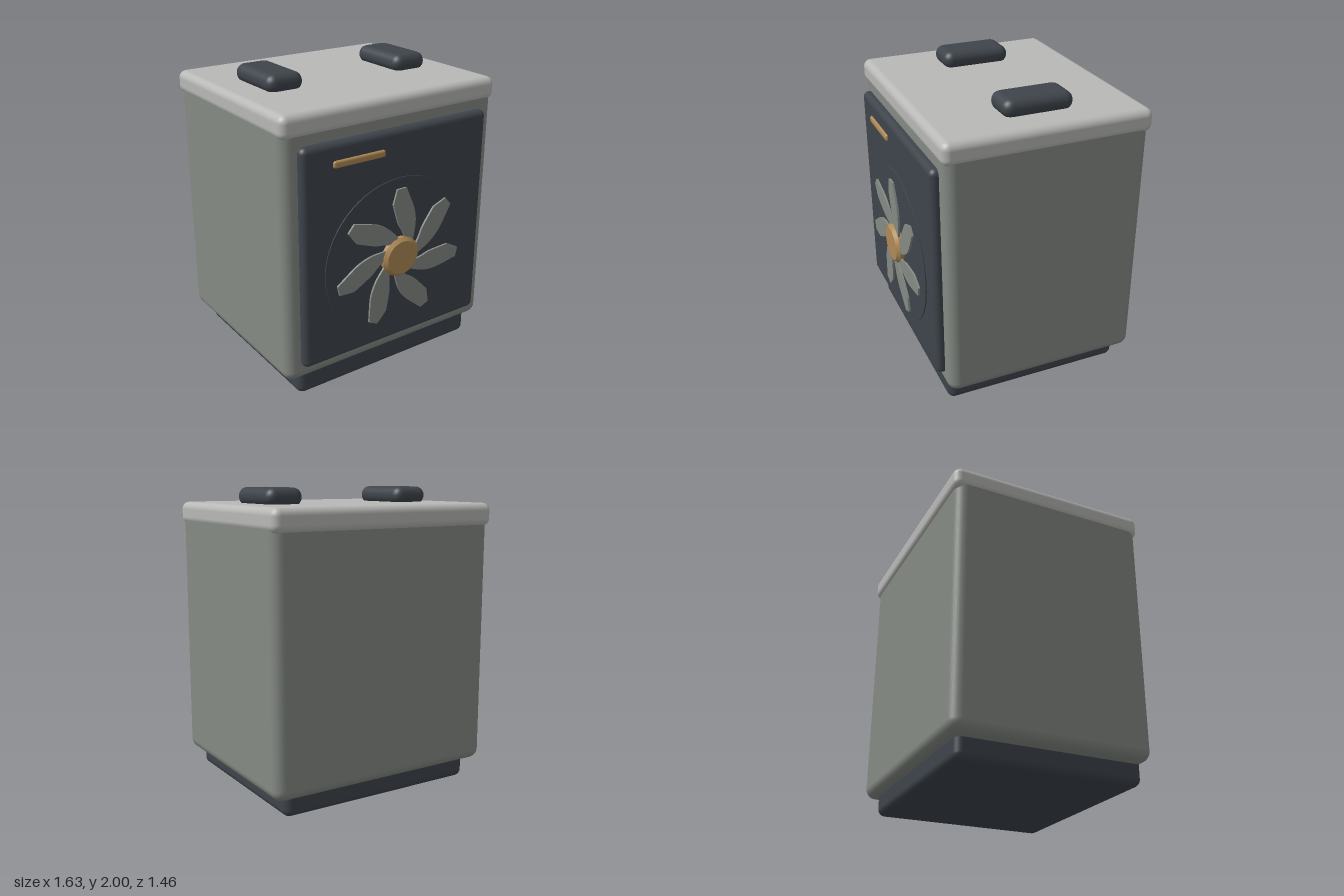
import * as THREE from 'three';
import { RoundedBoxGeometry } from 'three/addons/geometries/RoundedBoxGeometry.js';

const mat = (name, color) => {
  const m = new THREE.MeshStandardMaterial({ color });
  m.name = name;
  return m;
};

export function createModel() {
  const model = new THREE.Group();
  const grey = mat('greyGreen', 0x858a84);
  const pale = mat('paleGrey', 0xb8b8b6);
  const dark = mat('darkSlate', 0x3e444b);
  const brass = mat('brass', 0xae8955);

  const add = (name, geometry, material, parent = model) => {
    const mesh = new THREE.Mesh(geometry, material);
    mesh.name = name;
    parent.add(mesh);
    return mesh;
  };

  // Rounded box given by its extents on each axis
  const box = (name, material, [x0, x1], [y0, y1], [z0, z1], radius, segments = 4) => {
    const g = new RoundedBoxGeometry(x1 - x0, y1 - y0, z1 - z0, segments, radius);
    add(name, g, material).position.set((x0 + x1) / 2, (y0 + y1) / 2, (z0 + z1) / 2);
  };

  // Cabinet
  box('base', dark, [-0.71, 0.71], [0, 0.24], [-0.64, 0.595], 0.05);
  box('body', grey, [-0.81, 0.81], [0.135, 1.84], [-0.71, 0.62], 0.07);
  box('lid', pale, [-0.817, 0.817], [1.745, 1.897], [-0.73, 0.63], 0.05);
  box('door', dark, [-0.712, 0.712], [0.24, 1.7], [0.55, 0.672], 0.04);
  box('indicatorBar', brass, [-0.5, -0.12], [1.545, 1.592], [0.655, 0.687], 0.015, 2);

  // Top pads
  for (const side of [-1, 1]) {
    box(side > 0 ? 'leftTopPad' : 'rightTopPad', dark,
      [side * 0.487 - 0.127, side * 0.487 + 0.127], [1.88, 2], [-0.295, 0.167], 0.058, 3);
  }

  // Fan, slightly wider than tall
  const fan = new THREE.Group();
  fan.name = 'fan';
  fan.position.set(0, 0.853, 0);
  fan.scale.x = 1.056;
  model.add(fan);

  const disc = add('fanDisc', new THREE.CylinderGeometry(0.533, 0.533, 0.03, 64), dark, fan);
  disc.rotation.x = Math.PI / 2;
  disc.position.z = 0.664;

  // Swept blade outline, clockwise side curved out from the hub to a blunt tip
  const blade = new THREE.Shape();
  blade.moveTo(0.05, 0.08);
  blade.lineTo(0.09, 0.09);
  blade.splineThru([[0.108, 0.2], [0.098, 0.3], [0.055, 0.41]].map(p => new THREE.Vector2(...p)));
  blade.lineTo(0.03, 0.468);
  blade.lineTo(-0.037, 0.468);
  blade.lineTo(-0.065, 0.37);
  blade.splineThru([[-0.024, 0.235], [0.01, 0.17], [0.05, 0.08]].map(p => new THREE.Vector2(...p)));
  const bladeGeometry = new THREE.ExtrudeGeometry(blade, {
    depth: 0.014, bevelEnabled: false, curveSegments: 8,
  });
  for (let i = 0; i < 7; i++) {
    const b = add(`fanBlade${i + 1}`, bladeGeometry, grey, fan);
    b.position.z = 0.692;
    b.rotation.z = (i * Math.PI * 2) / 7;
  }

  // Hub with bevelled rims, one lathe per band to keep edges crisp
  const rims = [[0, 0.66], [0.113, 0.66], [0.134, 0.682], [0.134, 0.708], [0.113, 0.73], [0, 0.73]];
  const hub = new THREE.Group();
  hub.name = 'fanHub';
  hub.rotation.x = Math.PI / 2;
  fan.add(hub);
  for (let i = 0; i < rims.length - 1; i++) {
    const band = [rims[i], rims[i + 1]].map(p => new THREE.Vector2(...p));
    add(`hubBand${i + 1}`, new THREE.LatheGeometry(band, 40), brass, hub);
  }

  return model;
}
